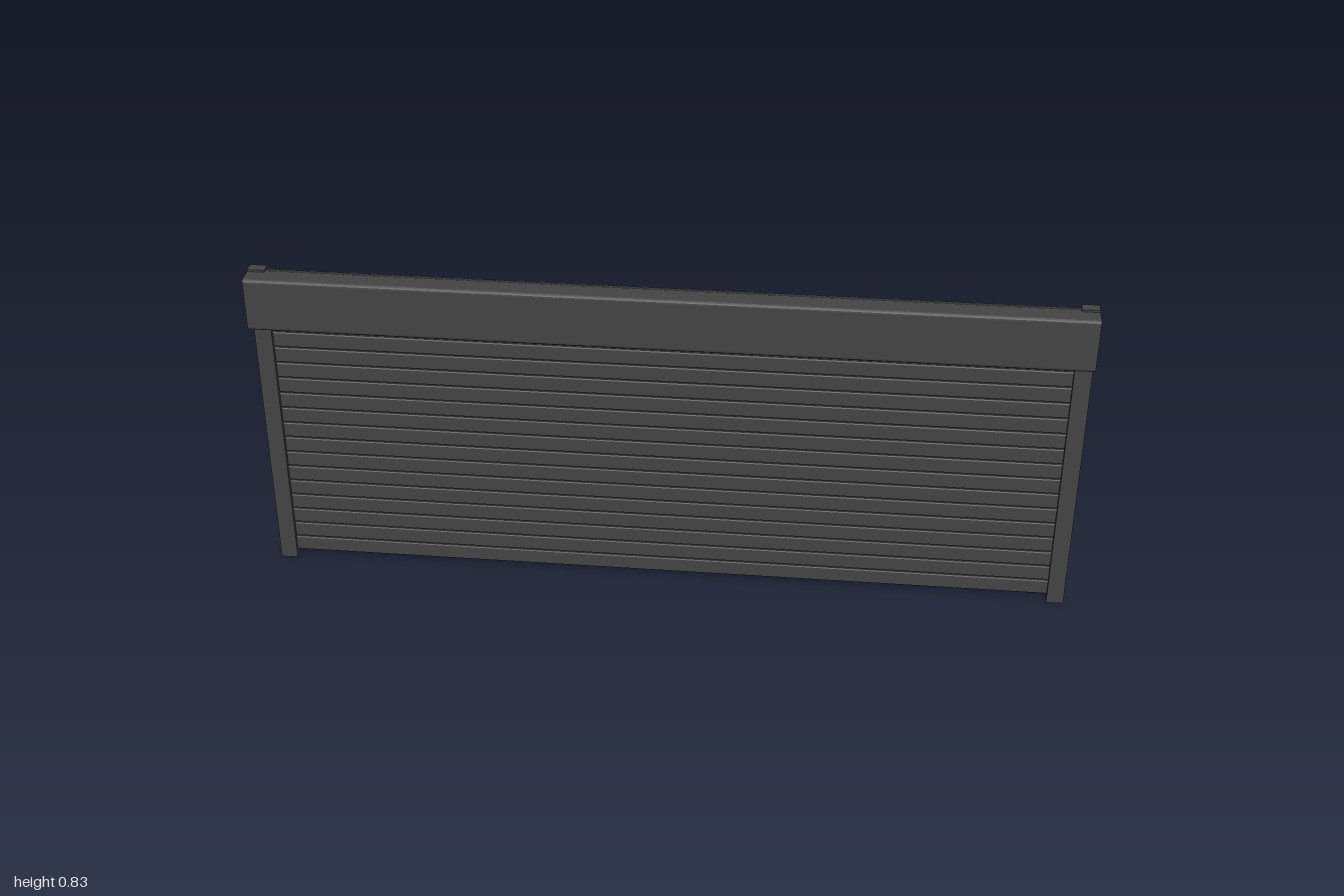
import * as THREE from 'three';

export function createModel() {
  const group = new THREE.Group();
  group.name = 'rollerShutter';
  const charcoal = new THREE.MeshStandardMaterial({ color: 0x444444 });
  charcoal.name = 'charcoal';

  // Extrudes a (z, y) profile along x, centred on x = 0
  function alongX(name, points, width) {
    const shape = new THREE.Shape(points.map(([z, y]) => new THREE.Vector2(-z, y)));
    const geo = new THREE.ExtrudeGeometry(shape, { depth: width, bevelEnabled: false });
    geo.translate(0, 0, -width / 2);
    geo.rotateY(Math.PI / 2);
    // local x (-z) maps back to the requested z
    const mesh = new THREE.Mesh(geo, charcoal);
    mesh.name = name;
    group.add(mesh);
    return mesh;
  }

  // Head box with softened front edges, resting on the front of the rails
  const profile = [[-0.008, 0.69]];
  const r = 0.009, front = 0.037, low = 0.69, high = 0.825;
  for (let i = 0; i <= 4; i++) {
    const a = -Math.PI / 2 + (i / 4) * Math.PI / 2;
    profile.push([front - r + r * Math.cos(a), low + r + r * Math.sin(a)]);
  }
  for (let i = 0; i <= 4; i++) {
    const a = (i / 4) * Math.PI / 2;
    profile.push([front - r + r * Math.cos(a), high - r + r * Math.sin(a)]);
  }
  profile.push([-0.008, high]);
  alongX('headBox', profile, 2);

  // Rear of the head box, between the rails
  const back = new THREE.Mesh(new THREE.BoxGeometry(1.92, 0.135, 0.009), charcoal);
  back.name = 'headBoxBack';
  back.position.set(0, 0.7575, -0.0125);
  group.add(back);

  // Side guide rails with chamfered back edges
  const railShape = new THREE.Shape([
    [-0.021, 0.008], [0.021, 0.008], [0.021, 0.03], [0.016, 0.035],
    [-0.016, 0.035], [-0.021, 0.03],
  ].map(([x, d]) => new THREE.Vector2(x, d)));
  const railGeo = new THREE.ExtrudeGeometry(railShape, { depth: 0.83, bevelEnabled: false });
  railGeo.rotateX(-Math.PI / 2);
  for (const side of [-1, 1]) {
    const rail = new THREE.Mesh(railGeo, charcoal);
    rail.name = side > 0 ? 'leftRail' : 'rightRail';
    rail.position.x = side * 0.979;
    group.add(rail);
  }

  // Curtain slats, with thin slits between them and bevelled long edges
  const pitch = 0.0428, start = 0.0185, slit = 0.0028, bevel = 0.003;
  for (let i = 0; i < 19; i++) {
    const y0 = start + i * pitch;
    const y1 = Math.min(y0 + pitch - slit, 0.824);
    alongX('slat' + (i + 1), [
      [-0.028, y0], [-0.021, y0], [-0.019, y0 + bevel], [-0.019, y1 - bevel],
      [-0.021, y1], [-0.028, y1], [-0.03, y1 - bevel], [-0.03, y0 + bevel],
    ], 1.93);
  }
  return group;
}
